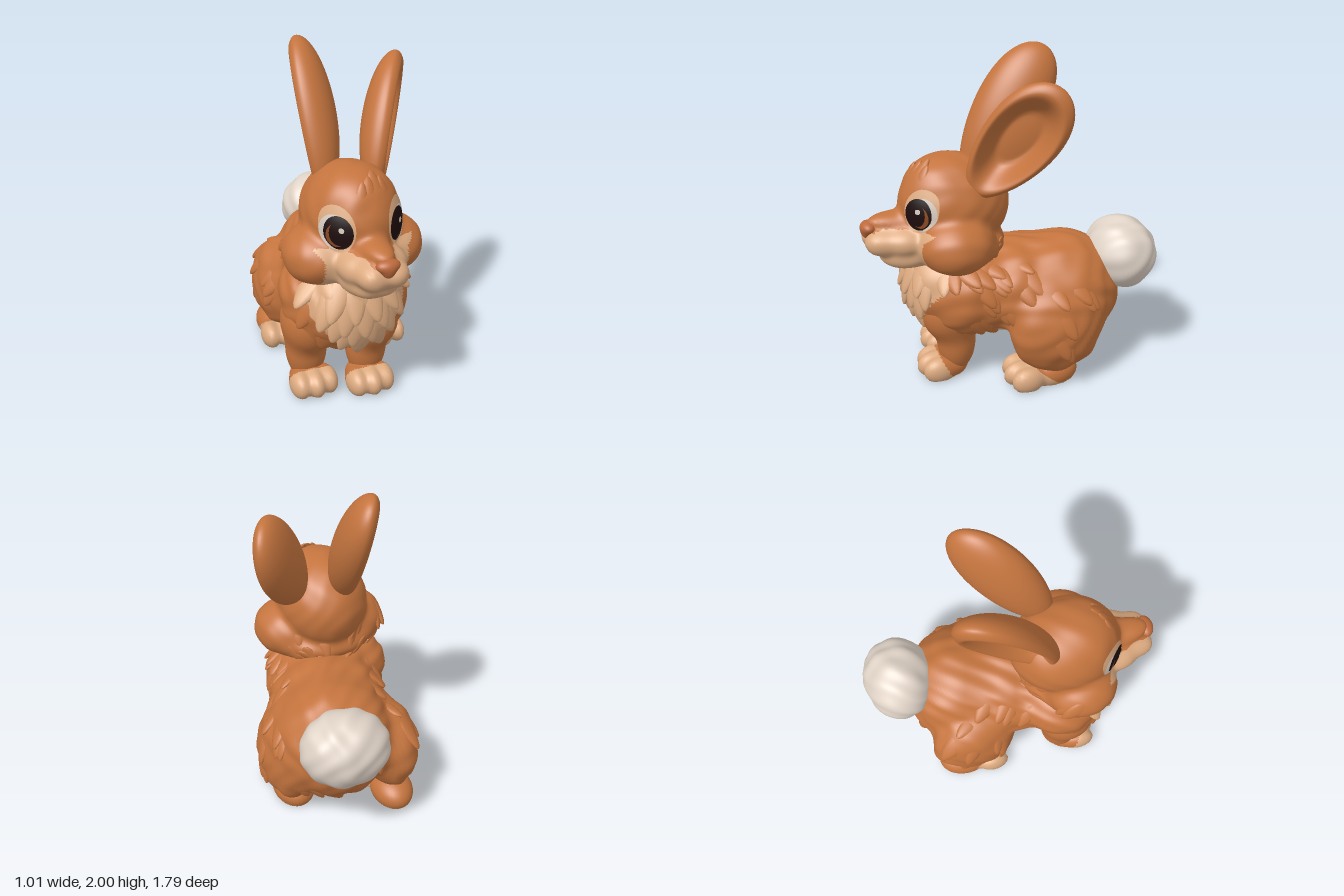
import * as THREE from 'three';
import { mergeVertices } from 'three/addons/utils/BufferGeometryUtils.js';

const mat = (name, color) => Object.assign(new THREE.MeshStandardMaterial({ color }), { name });
const FUR = mat('orange fur', 0xc4743e), CREAM = mat('cream fur', 0xdcaa80), TAIL = mat('tail white', 0xdfd2c6);
const DARK = mat('eye dark', 0x1e0d0d), WHITE = mat('eye white', 0xd8ccc0), IRIS = mat('iris brown', 0x8a4a24);
const NOSE = mat('nose', 0xbd6a3c), PAD = mat('paw pad', 0xac633a);
const PALETTE = [FUR, CREAM];
const V = (x, y, z) => new THREE.Vector3(x, y, z);

let seed = 7;
const rnd = () => (seed = (seed * 16807) % 2147483647) / 2147483647;

// Distance to a soft union of ellipsoids [cx, cy, cz, rx, ry, rz]
function soft(list, k) {
  return (p) => {
    let d = 1e3;
    for (const [cx, cy, cz, rx, ry, rz] of list) {
      const x = (p.x - cx) / rx, y = (p.y - cy) / ry, z = (p.z - cz) / rz;
      const k0 = Math.hypot(x, y, z), k1 = Math.hypot(x / rx, y / ry, z / rz);
      const e = k1 < 1e-5 ? -Math.min(rx, ry, rz) : (k0 * (k0 - 1)) / k1;
      const h = Math.max(k - Math.abs(d - e), 0) / k;
      d = Math.min(d, e) - h * h * k * 0.25;
    }
    return d;
  };
}

// Outermost hit on the surface along a ray from an inner point
function cast(f, from, dir, far) {
  const at = (t) => from.clone().addScaledVector(dir, t);
  let t = far;
  while (t > 0 && f(at(t)) > 0) t -= 0.015;
  let a = Math.max(t, 0), b = a + 0.015;
  for (let i = 0; i < 8; i++) f(at((a + b) / 2)) > 0 ? (b = (a + b) / 2) : (a = (a + b) / 2);
  return at(a);
}

function normalAt(f, p) {
  const e = 0.004, d = (v) => f(p.clone().add(v)) - f(p.clone().sub(v));
  return V(d(V(e, 0, 0)), d(V(0, e, 0)), d(V(0, 0, e))).normalize();
}

// Mesh whose triangles are sorted into colour groups by a rule
function painted(name, geo, paint) {
  geo.deleteAttribute('uv');
  geo.deleteAttribute('normal');
  geo = mergeVertices(geo, 1e-5);
  const pos = geo.attributes.position, idx = geo.index.array, sets = PALETTE.map(() => []);
  const c = V(0, 0, 0), q = V(0, 0, 0);
  for (let i = 0; i < idx.length; i += 3) {
    c.set(0, 0, 0);
    for (let j = 0; j < 3; j++) c.add(q.fromBufferAttribute(pos, idx[i + j]));
    sets[paint(c.divideScalar(3))].push(idx[i], idx[i + 1], idx[i + 2]);
  }
  geo.setIndex(sets.flat());
  let start = 0;
  sets.forEach((s, i) => { if (s.length) geo.addGroup(start, s.length, i); start += s.length; });
  geo.computeVertexNormals();
  const m = new THREE.Mesh(geo, PALETTE);
  m.name = name;
  return m;
}

const ripple = (p) => Math.sin(p.x * 33 + p.z * 21 + Math.sin(p.y * 17) * 1.5) * Math.sin(p.y * 25 + p.z * 15 + Math.sin(p.x * 13));

// Sphere shrunk onto a soft union
function blob(name, f, centre, paint, { w = 64, h = 48, far = 0.6, bump = 0 } = {}) {
  const geo = new THREE.SphereGeometry(1, w, h), pos = geo.attributes.position, d = V(0, 0, 0);
  for (let i = 0; i < pos.count; i++) {
    d.fromBufferAttribute(pos, i).normalize();
    const p = cast(f, centre, d, far);
    p.addScaledVector(d, bump * ripple(p));
    pos.setXYZ(i, p.x, Math.max(p.y, 0.003), p.z);
  }
  return painted(name, geo, paint);
}

// Thin plate laid over a surface as seen from the front
function decal(name, f, x, y, rx, ry, lift, material) {
  const geo = new THREE.RingGeometry(0, 1, 32, 8), pos = geo.attributes.position;
  for (let i = 0; i < pos.count; i++) {
    const p = cast(f, V(x + pos.getX(i) * rx, y + pos.getY(i) * ry, 0.3), V(0, 0, 1), 0.8);
    p.addScaledVector(normalAt(f, p), lift);
    pos.setXYZ(i, p.x, p.y, p.z);
  }
  geo.computeVertexNormals();
  const m = new THREE.Mesh(geo, material);
  m.name = name;
  return m;
}

// Pointed lock of fur with its root sunk and its tip raised
const lock = new THREE.SphereGeometry(1, 12, 10);
for (let i = 0, p = lock.attributes.position; i < p.count; i++) {
  const y = p.getY(i);
  p.setXYZ(i, p.getX(i) * (0.5 + 0.16 * y), y, p.getZ(i) * 0.22 - y * 0.18);
}
lock.computeVertexNormals();
function tuft(name, f, p, flow, size, material) {
  const n = normalAt(f, p), up = flow.clone().negate().addScaledVector(n, flow.dot(n)).normalize();
  const m = new THREE.Mesh(lock, material);
  m.name = name;
  m.quaternion.setFromRotationMatrix(new THREE.Matrix4().makeBasis(up.clone().cross(n), up, n));
  m.position.copy(p).addScaledVector(n, -size * 0.15);
  m.scale.setScalar(size);
  return m;
}

// Hollow leaf-shaped ear; n is the way its opening faces
function ear(name, base, tip, n, wide, back) {
  const axis = tip.clone().sub(base), half = axis.length() / 2;
  axis.normalize();
  n.addScaledVector(axis, -n.dot(axis)).normalize();
  const side = axis.clone().cross(n), mid = base.clone().add(tip).multiplyScalar(0.5);
  const geo = new THREE.SphereGeometry(1, 64, 48).rotateX(Math.PI / 2), pos = geo.attributes.position;
  for (let i = 0; i < pos.count; i++) {
    const X = pos.getX(i), Y = pos.getY(i), Z = pos.getZ(i), r = Math.hypot(X, Y);
    const dip = Z > 0 ? (back + 0.04) * (1 - THREE.MathUtils.smoothstep(r, 0.4, 0.9)) : 0;
    const p = mid.clone().addScaledVector(side, X * wide * (1 + 0.2 * Y)).addScaledVector(axis, Y * half);
    p.addScaledVector(n, (Z > 0 ? 0.1 : back) * Z - dip);
    pos.setXYZ(i, p.x, p.y, p.z);
  }
  return painted(name, geo, () => 0);
}

// Paw with three toes and a sole pad
function paw(name, x, z, hind) {
  const g = new THREE.Group(), w = hind ? 0.097 : 0.085, len = hind ? 0.13 : 0.07;
  const parts = [[x, 0.06, z - (hind ? 0.06 : 0.02), hind ? 0.13 : 0.12, hind ? 0.11 : 0.09, hind ? 0.18 : 0.13]];
  for (const s of [-1, 0, 1]) parts.push([x + s * w, 0.06, z + len - Math.abs(s) * 0.02, 0.06, 0.082, 0.1]);
  const edge = hind ? -0.1 : -0.03, slope = hind ? 1.2 : 0.5;
  g.add(blob('foot', soft(parts, 0.025), V(x, 0.06, z), (c) => (c.z - z > edge + slope * c.y || c.y < 0.02 ? 1 : 0), { w: 56, h: 36 }));
  const pad = new THREE.Mesh(new THREE.CircleGeometry(1, 28), PAD);
  pad.rotation.x = Math.PI / 2;
  pad.scale.set(hind ? 0.075 : 0.065, hind ? 0.12 : 0.055, 1);
  pad.position.set(x, 0, z - 0.02);
  pad.name = 'sole pad';
  g.add(pad);
  g.name = name;
  return g;
}

export function createModel() {
  const model = new THREE.Group();
  const add = (...m) => model.add(...m);

  // Body with chest bib, rump and thighs
  const body = soft([
    [-0.095, 0.56, 0.29, 0.385, 0.32, 0.31], [-0.1, 0.64, 0.25, 0.375, 0.18, 0.28], [-0.11, 0.6, 0.48, 0.26, 0.24, 0.16],
    [0, 0.56, -0.04, 0.36, 0.29, 0.4], [0.06, 0.51, -0.31, 0.36, 0.36, 0.365],
    [0.32, 0.37, -0.19, 0.17, 0.29, 0.29], [-0.29, 0.38, -0.32, 0.17, 0.28, 0.27],
  ], 0.06);
  const bib = (p) => {
    const v = (p.y - 0.27) / 0.34;
    return p.z > 0.45 && v > 0 && Math.abs(p.x + 0.11) < 0.3 * Math.min(1, v ** 0.85);
  };
  const belly = (p) => p.y < 0.34 && p.z > -0.1 && p.z < 0.26 && Math.abs(p.x) < 0.24;
  const bodyPaint = (p) => (bib(p) || belly(p) ? 1 : 0);
  const bodyCentre = V(0, 0.54, 0);
  add(blob('body', body, bodyCentre, bodyPaint, { w: 150, h: 110, far: 1, bump: 0.008 }));

  // Front legs and paws
  for (const [side, x, z, lean] of [['left', -0.01, 0.43, 0.04], ['right', -0.33, 0.33, 0]]) {
    const f = soft([[x + lean, 0.44, z - 0.04, 0.16, 0.2, 0.18], [x + lean * 0.6, 0.24, z - 0.075, 0.125, 0.22, 0.12]], 0.06);
    add(blob(side + ' front leg', f, V(x, 0.3, z - 0.06), () => 0, { w: 40, h: 32 }), paw(side + ' front paw', x, z, false));
  }
  add(paw('left hind foot', 0.275, -0.1, true), paw('right hind foot', -0.3, -0.33, true));

  // Head with brow, cheeks, muzzle and chin
  const hx = -0.08, parts = [
    [hx, 1.1, 0.325, 0.28, 0.3, 0.335], [hx, 1.24, 0.4, 0.2, 0.15, 0.2], [hx, 0.86, 0.33, 0.32, 0.13, 0.3],
    [hx, 0.92, 0.63, 0.2, 0.115, 0.18], [hx, 1.03, 0.67, 0.085, 0.055, 0.18], [hx, 0.82, 0.62, 0.17, 0.085, 0.17],
  ];
  for (const s of [-1, 1]) parts.push([hx + s * 0.225, 0.905, 0.37, 0.19, 0.168, 0.22], [hx + s * 0.06, 0.92, 0.79, 0.085, 0.075, 0.085]);
  const head = soft(parts, 0.045), headCentre = V(hx, 0.96, 0.38);
  const headPaint = (p) => {
    const dx = Math.abs(p.x - hx);
    const muzzle = p.z > 0.5 && p.y < 1.01 && dx < 0.25 + Math.max(0, p.y - 0.95) * 0.9;
    const chin = p.z > 0.42 && p.y < 0.79 && dx < 0.27;
    return (muzzle || chin) && !(dx < 0.075 && p.y > 0.985) ? 1 : 0;
  };
  add(blob('head', head, headCentre, headPaint, { w: 150, h: 110, far: 0.9, bump: 0.003 }));
  const nose = blob('nose', soft([[hx, 1.005, 0.845, 0.07, 0.036, 0.045], [hx, 0.975, 0.85, 0.035, 0.04, 0.035]], 0.03), V(hx, 0.99, 0.845), () => 0, { w: 32, h: 24, far: 0.2 });
  nose.material = [NOSE];
  add(nose);

  // Eyes
  for (const s of [-1, 1]) {
    const e = (name, dx, y, rx, ry, lift, m) => add(decal(name, head, hx + s * dx, y, rx, ry, lift, m));
    e('eye patch', 0.17, 1.125, 0.077, 0.13, 0.005, CREAM);
    e('eye white', 0.182, 1.108, 0.063, 0.098, 0.007, WHITE);
    e('eye rim', 0.167, 1.108, 0.062, 0.094, 0.009, DARK);
    e('iris', 0.18, 1.095, 0.04, 0.065, 0.011, IRIS);
    e('pupil', 0.168, 1.108, 0.04, 0.066, 0.013, DARK);
    add(decal('eye glint', head, hx + s * 0.168 + 0.01, 1.13, 0.012, 0.015, 0.015, WHITE));
  }

  // Ears
  add(ear('left ear', V(0.1, 1.2, 0.265), V(0.43, 1.855, -0.16), V(0.82, -0.1, 0.52), 0.21, 0.14));
  add(ear('right ear', V(-0.185, 1.2, 0.21), V(-0.165, 1.98, -0.28), V(-0.88, -0.1, -0.42), 0.2, 0.15));

  // Fluffy tail
  const tail = soft([[0.13, 0.72, -0.68, 0.26, 0.222, 0.217]], 0.03);
  const fluff = blob('tail', tail, V(0.13, 0.72, -0.68), () => 0, { w: 72, h: 54, bump: 0.007 });
  fluff.material = [TAIL];
  add(fluff);

  // Fur locks over the body, bib and cheeks
  for (let i = 0; i < 80; i++) {
    const d = V(rnd() * 2 - 1, rnd() * 1.5 - 0.7, rnd() * 2 - 1).normalize(), p = cast(body, bodyCentre, d, 1);
    if (p.y > 0.24 && p.y < 0.8 && !bib(p) && !belly(p)) add(tuft('body fur', body, p, V(0, -1, -0.5), 0.08 + rnd() * 0.04, FUR));
  }
  for (let row = 0; row < 4; row++) {
    const n = 6 - row, y = 0.68 - row * 0.09;
    for (let i = 0; i < n; i++) {
      const t = (i / (n - 1)) * 2 - 1, p = cast(body, V(-0.11 + t * (0.27 - row * 0.06), y + t * t * 0.05, 0.15), V(0, 0, 1), 0.7);
      add(tuft('chest fur', body, p, V(t * 0.4, -1, 0), 0.11 + rnd() * 0.03, CREAM));
    }
  }
  for (let i = 0; i < 50; i++) {
    const d = V(rnd() * 2 - 1, -rnd() * 0.6, rnd() * 1.6 - 1.1).normalize(), p = cast(head, headCentre, d, 0.9);
    if (p.z < 0.32 && p.y > 0.78) add(tuft('cheek fur', head, p, V(0, -0.7, -0.8), 0.07 + rnd() * 0.03, FUR));
  }
  for (const [x, y, s] of [[-0.02, 1.34, 0.09], [-0.07, 1.33, 0.075], [0.03, 1.32, 0.07], [-0.12, 1.31, 0.07]]) {
    const p = cast(head, V(x, y, 0.3), V(0, 0, 1), 0.6);
    add(tuft('forelock', head, p, V(0.15, 1, 0), s, FUR));
  }
  return model;
}
